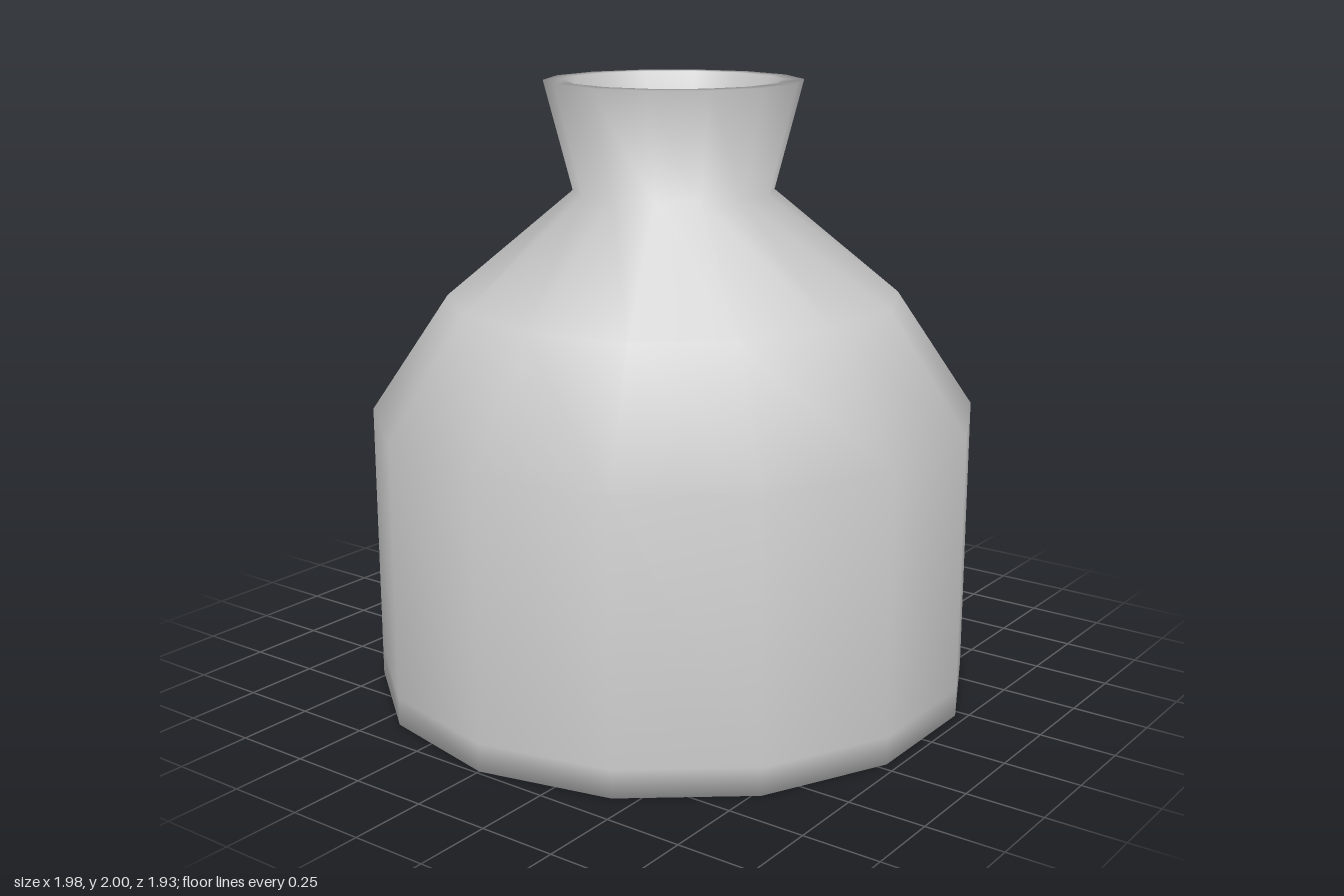
import * as THREE from 'three';

const SIDES = 14;

// Closed wall section: underside, outer wall, rim, then back down the inside
const PROFILE = [
  [0, 0], [0.9, 0], [0.99, 0], [0.99, 0.09],       // base with softly shaded edge
  [0.99, 0.93], [0.735, 1.31], [0.325, 1.65],      // body and shoulder
  [0.415, 2], [0.35, 2],                           // flared neck and rim
  [0.27, 1.69], [0.255, 1.62],                     // throat
  [0.67, 1.26], [0.92, 0.9], [0.92, 0.07], [0, 0.07] // hollow inside
];

export function createModel() {
  const group = new THREE.Group();
  group.name = 'bottle';

  // Low-sided lathe with smooth normals, corners on the x axis
  const points = PROFILE.map(([r, y]) => new THREE.Vector2(r, y));
  const geometry = new THREE.LatheGeometry(points, SIDES, Math.PI / 2);
  const material = new THREE.MeshStandardMaterial({ color: 0xcccccc });
  const body = new THREE.Mesh(geometry, material);
  body.name = 'bottleBody';
  group.add(body);

  return group;
}
